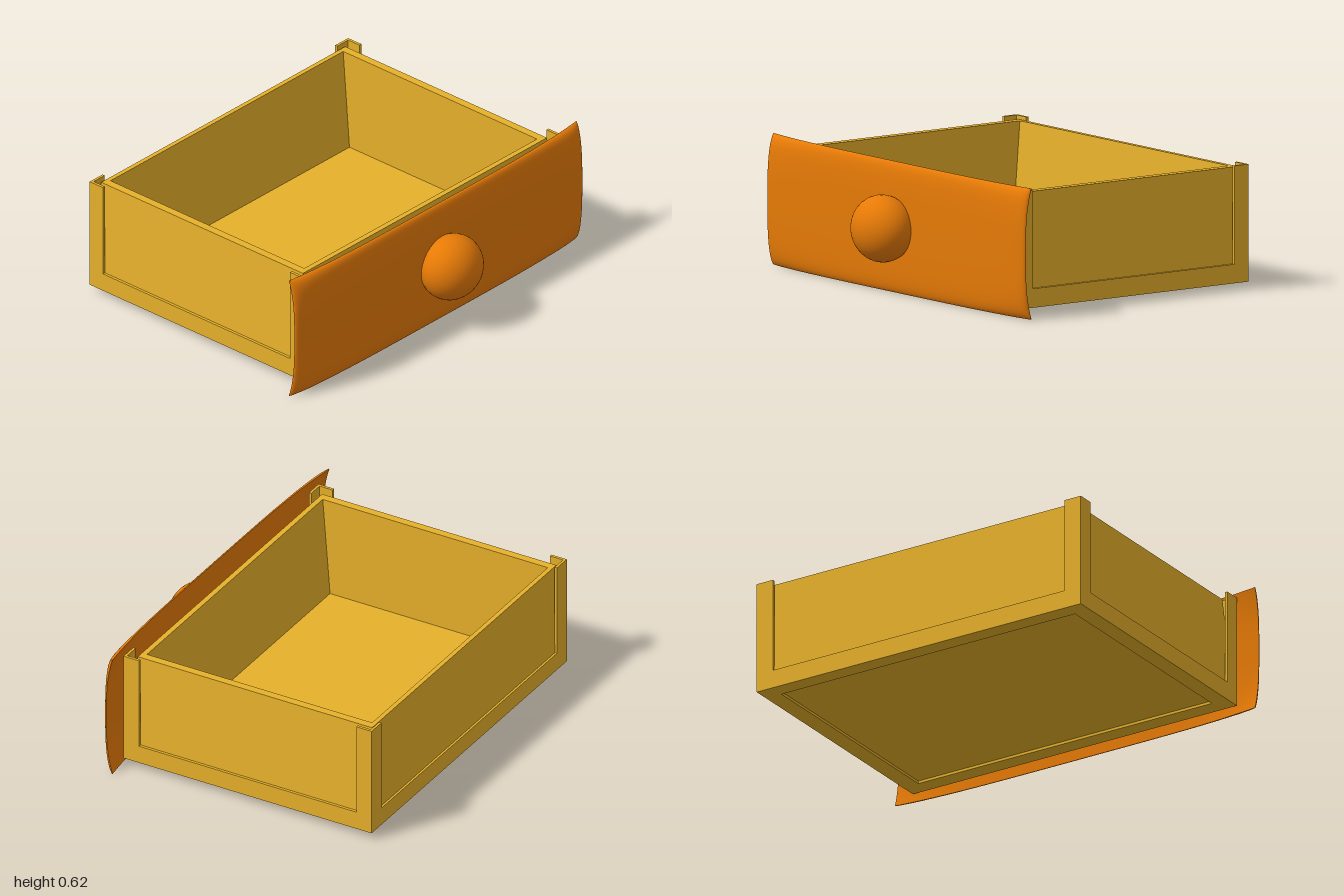
import * as THREE from 'three';

export function createModel() {
  const model = new THREE.Group();
  model.name = 'drawer';
  const wood = new THREE.MeshStandardMaterial({ color: 0xe6b02a });
  wood.name = 'pale wood';
  const orange = new THREE.MeshStandardMaterial({ color: 0xe67a06 });
  orange.name = 'orange wood';

  const add = (name, geometry, material) => {
    const mesh = new THREE.Mesh(geometry, material);
    mesh.name = name;
    model.add(mesh);
    return mesh;
  };
  const outline = (points) => new THREE.Shape(points.map(([x, y]) => new THREE.Vector2(x, y)));
  // Extrude a plan drawn in (x, -z) upwards from y0 to y1
  const extrudeUp = (shape, y0, y1) =>
    new THREE.ExtrudeGeometry(shape, { depth: y1 - y0, bevelEnabled: false })
      .rotateX(-Math.PI / 2).translate(0, y0, 0);

  const back = -0.802, front = 0.54, midZ = (back + front) / 2, half = (front - back) / 2;

  // Bottom frame with an opening for the recessed floor
  const rail = outline([[-0.9, -front], [0.9, -front], [0.9, -back], [-0.9, -back]]);
  rail.holes.push(outline([[-0.815, -0.455], [-0.815, 0.72], [0.815, 0.72], [0.815, -0.455]]));
  add('bottomFrame', extrudeUp(rail, 0.035, 0.125), wood);
  const floor = add('floor', new THREE.BoxGeometry(1.63, 0.027, 1.175), wood);
  floor.position.set(0, 0.0615, -0.1325);

  // Tapered walls: rectangular rings running up the outside, over the rim, down the inside
  const rings = [ // half width, back z, front z, height
    [0.888, -0.792, 0.529, 0.1],
    [0.85, -0.775, 0.492, 0.576],
    [0.81, -0.752, 0.465, 0.576],
    [0.81, -0.712, 0.425, 0.07],
  ].map(([x, zb, zf, y]) => [[-x, y, zf], [x, y, zf], [x, y, zb], [-x, y, zb]]);
  const corners = [];
  for (let r = 0; r < 3; r++) for (let i = 0; i < 4; i++) {
    const j = (i + 1) % 4;
    const a = rings[r][i], b = rings[r][j], c = rings[r + 1][j], d = rings[r + 1][i];
    corners.push(...a, ...b, ...c, ...a, ...c, ...d);
  }
  const walls = new THREE.BufferGeometry();
  walls.setAttribute('position', new THREE.Float32BufferAttribute(corners, 3));
  walls.computeVertexNormals();
  add('walls', walls, wood);

  // Thin L-shaped corner posts standing clear of the tapered walls
  for (const sx of [-1, 1]) for (const sz of [-1, 1]) {
    const corner = [[0.9, half], [0.81, half], [0.81, half - 0.013], [0.886, half - 0.013],
      [0.886, half - 0.083], [0.9, half - 0.083]];
    const post = outline(corner.map(([x, z]) => [sx * x, -(sz * z + midZ)]));
    add('cornerPost', extrudeUp(post, 0.035, 0.59), wood);
  }

  // Front panel: thin plate with corners bent backwards and a front that rounds into its rim
  const panel = new THREE.BoxGeometry(2, 2, 1, 48, 32, 1);
  const p = panel.attributes.position;
  for (let i = 0; i < p.count; i++) {
    const u = Math.sin(p.getX(i) * Math.PI / 2), v = Math.sin(p.getY(i) * Math.PI / 2);
    const zFront = 0.604 - 0.006 * u ** 4 - 0.008 * v ** 4 - 0.012 * u ** 4 * v ** 4;
    const zBack = 0.574 - 0.034 * u ** 4 * Math.abs(v) ** 3;
    const rounding = 0.1 + 0.9 * Math.sqrt(Math.max(0, (1 - u ** 20) * (1 - v ** 12)));
    const z = p.getZ(i) > 0 ? zBack + (zFront - zBack) * rounding : zBack;
    p.setXYZ(i, u, 0.31 + 0.31 * v, z);
  }
  panel.computeVertexNormals();
  add('frontPanel', panel, orange);

  // Round knob, cut off where it meets the panel
  const ball = new THREE.SphereGeometry(1, 32, 18, 0, Math.PI * 2, 0, 2.15).rotateX(Math.PI / 2);
  const knob = add('knob', ball, orange);
  knob.scale.set(0.163, 0.159, 0.14);
  knob.position.set(0, 0.312, 0.66);

  return model;
}
